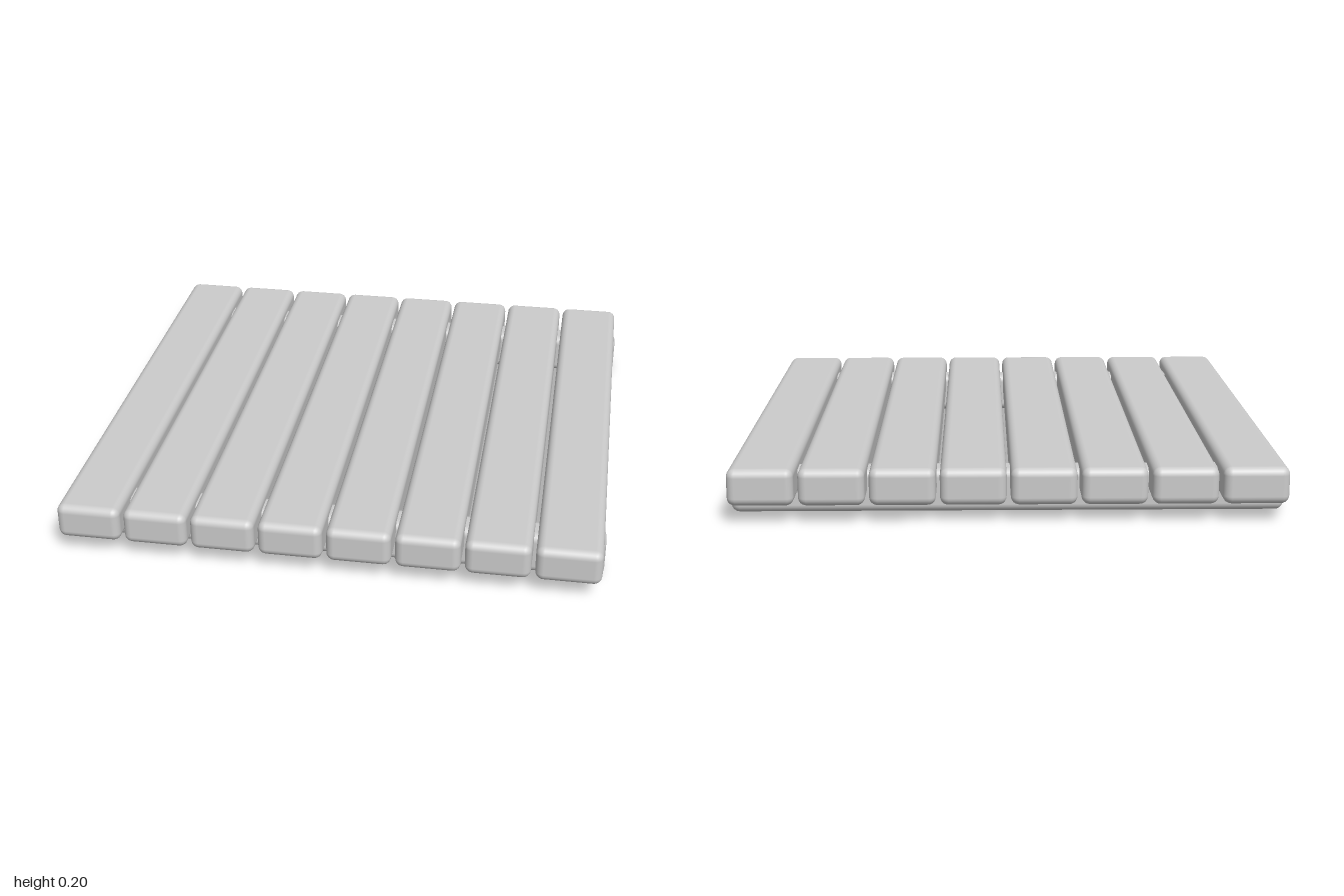
import * as THREE from 'three';
import { RoundedBoxGeometry } from 'three/addons/geometries/RoundedBoxGeometry.js';

export function createModel() {
  const group = new THREE.Group();
  const material = new THREE.MeshStandardMaterial({ color: 0xcccccc });

  const addBoard = (name, geometry, x, y, z) => {
    const board = new THREE.Mesh(geometry, material);
    board.name = name;
    board.position.set(x, y, z);
    group.add(board);
  };

  // Eight planks running front to back, with narrow gaps
  const count = 8, pitch = 0.25;
  const plankGeometry = new RoundedBoxGeometry(0.236, 0.135, 2, 3, 0.03);
  for (let i = 0; i < count; i++) {
    addBoard(`plank${i + 1}`, plankGeometry, (i - (count - 1) / 2) * pitch, 0.1325, 0);
  }

  // Two cross rails let into the underside of the planks
  const railGeometry = new RoundedBoxGeometry(2, 0.16, 0.115, 3, 0.03);
  addBoard('frontRail', railGeometry, 0, 0.08, 0.8);
  addBoard('backRail', railGeometry, 0, 0.08, -0.8);

  return group;
}
